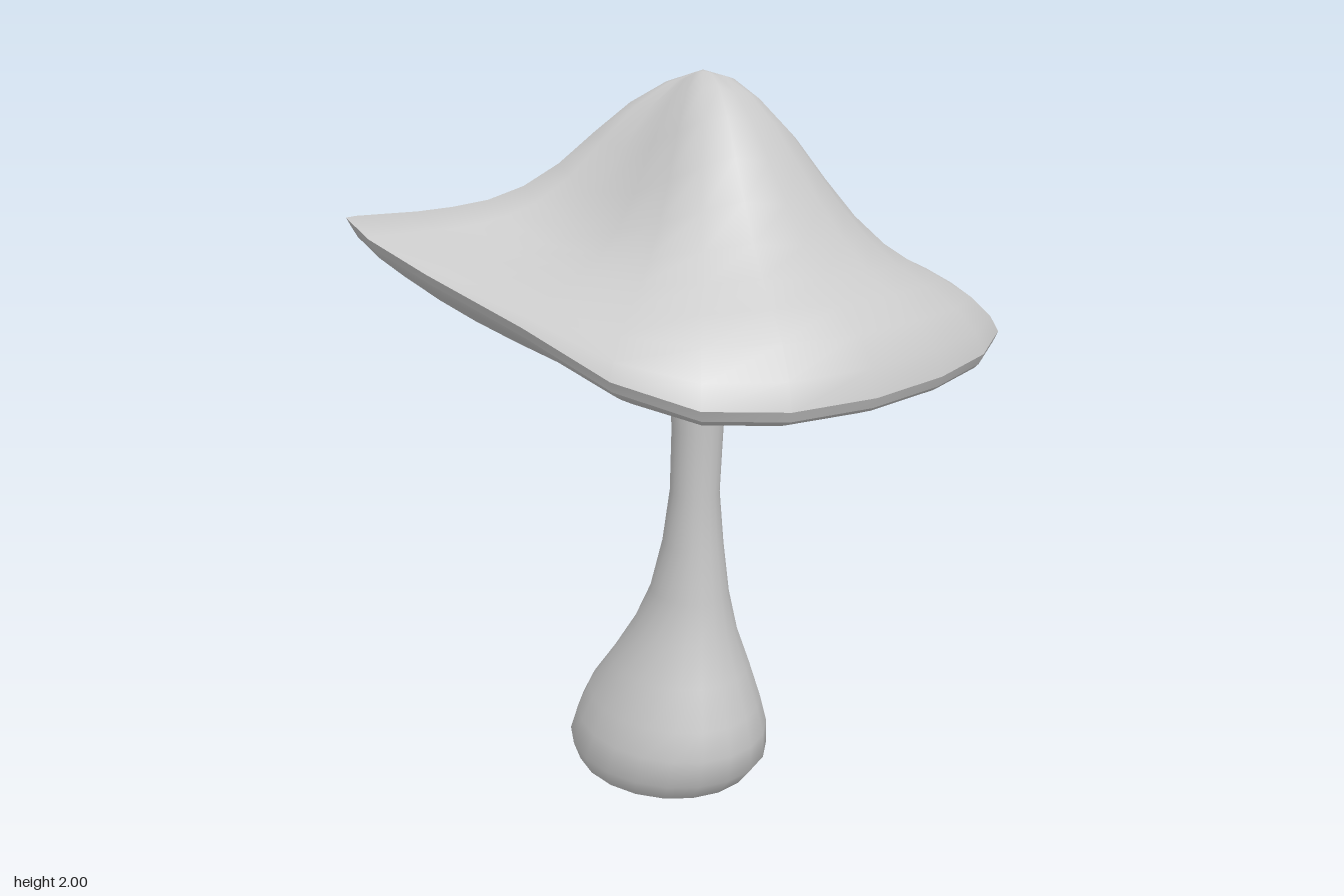
import * as THREE from 'three';
import { mergeVertices } from 'three/addons/utils/BufferGeometryUtils.js';

const lerp = THREE.MathUtils.lerp;
const APEX = { x: -0.06, y: 2, z: 0.1 };
const UNDER_Y = 1.24; // underside height at the stem

// Rim of the cap as two arcs [x, y, z], broken by the two slits
const ARCS = [
  [
    [0.18, 1.2, -0.785], [0.35, 1.165, -0.735], [0.54, 1.155, -0.62], [0.7, 1.19, -0.48],
    [0.81, 1.24, -0.305], [0.835, 1.28, -0.07], [0.77, 1.3, 0.21], [0.62, 1.32, 0.47],
    [0.41, 1.335, 0.65], [0.18, 1.345, 0.765], [-0.06, 1.35, 0.825], [-0.29, 1.355, 0.82],
    [-0.47, 1.365, 0.735], [-0.6, 1.41, 0.57], [-0.69, 1.49, 0.33], [-0.78, 1.56, 0.01],
    [-0.84, 1.615, -0.19], [-0.825, 1.635, -0.37], [-0.76, 1.59, -0.5], [-0.63, 1.52, -0.59],
  ],
  [[-0.55, 1.47, -0.64], [-0.36, 1.38, -0.755], [-0.12, 1.29, -0.825], [0.075, 1.23, -0.81]],
];
// Slits: middle of the opening at the rim, and how far out it starts on the top and underside
const SLIT_BACK = { mid: [0.155, 1.215, -0.79], top: 0.6, under: 0.6 };
const SLIT_SIDE = { mid: [-0.575, 1.495, -0.615], top: 0.8, under: 0.93 };

// Slope of the cap from apex to rim, towards each side
const STEPS = [0, 0.1, 0.2, 0.3, 0.4, 0.5, 0.6, 0.7, 0.8, 0.9, 0.97, 1];
const SLOPE = {
  right: [1, 0.96, 0.85, 0.72, 0.56, 0.42, 0.32, 0.25, 0.19, 0.12, 0.05, 0],
  front: [1, 0.985, 0.94, 0.85, 0.72, 0.58, 0.45, 0.35, 0.28, 0.2, 0.1, 0],
  left: [1, 0.95, 0.82, 0.61, 0.38, 0.22, 0.13, 0.09, 0.06, 0.04, 0.02, 0],
  back: [1, 0.965, 0.895, 0.79, 0.66, 0.53, 0.41, 0.3, 0.2, 0.1, 0.03, 0],
};

// Stem sections: y, x from, x to, z from, z to
const STEM = [
  [1.3, -0.17, 0.005, 0.03, 0.2], [1.2, -0.16, -0.005, 0.04, 0.19], [1.08, -0.15, -0.015, 0.04, 0.18],
  [0.9, -0.147, -0.018, 0.025, 0.167], [0.75, -0.16, 0, -0.005, 0.17], [0.6, -0.18, 0.025, -0.06, 0.18],
  [0.48, -0.215, 0.06, -0.125, 0.195], [0.37, -0.265, 0.105, -0.2, 0.225], [0.26, -0.31, 0.145, -0.29, 0.26],
  [0.18, -0.335, 0.17, -0.337, 0.275], [0.1, -0.35, 0.185, -0.367, 0.265], [0.04, -0.325, 0.16, -0.352, 0.215],
];
const STEM_BASE = [STEM[11], [0, -0.2, 0.045, -0.235, 0.08], [0, -0.078, -0.078, -0.078, -0.078]];

// Smooth surface through one or more grids of points
function surface(...grids) {
  const pos = [];
  for (const cols of grids) {
    for (let i = 0; i < cols.length - 1; i++) {
      for (let j = 0; j < cols[i].length - 1; j++) {
        const a = cols[i][j], b = cols[i + 1][j], c = cols[i + 1][j + 1], d = cols[i][j + 1];
        for (const p of [a, b, c, a, c, d]) pos.push(...p);
      }
    }
  }
  const raw = new THREE.BufferGeometry();
  raw.setAttribute('position', new THREE.Float32BufferAttribute(pos, 3));
  const geo = mergeVertices(raw, 1e-5);
  geo.computeVertexNormals();
  return geo;
}

// One spoke of the cap: matching points on the top, the lip and the underside.
// The two spokes beside a slit run together until the slit starts.
function spoke(rim, slit) {
  const dir = slit ? slit.mid : rim;
  const ang = Math.atan2(dir[2] - APEX.z, dir[0] - APEX.x);
  const c = Math.cos(ang), s = Math.sin(ang);
  const sideX = c > 0 ? SLOPE.right : SLOPE.left;
  const sideZ = s > 0 ? SLOPE.front : SLOPE.back;
  const rimAt = (t, start) => {
    const k = Math.max(0, (t - start) / (1 - start));
    return dir.map((v, n) => lerp(v, rim[n], k));
  };
  const top = STEPS.map((t, i) => {
    const r = rimAt(t, slit ? slit.top : 0);
    const twist = 0.8 * Math.min(c, 0) * s * t * (1 - t);
    const f = c * c * sideX[i] + s * s * sideZ[i] - twist;
    return [lerp(APEX.x, r[0], t), lerp(r[1], APEX.y, f), lerp(APEX.z, r[2], t)];
  });
  const sag = 0.07 + 0.02 * (c - s);
  const under = STEPS.map((t) => {
    const r = rimAt(t, slit ? slit.under : 0);
    const y = lerp(UNDER_Y, r[1] - 0.026, Math.pow(t, 1.5)) - sag * 4 * t * (1 - t);
    const u = t === 1 ? 0.985 : t;
    return [lerp(APEX.x, r[0], u), y, lerp(APEX.z, r[2], u)];
  });
  return { top, lip: [top[11], under[11]], under: under.reverse() };
}

// Stem rings turned into columns running from top to bottom
function stemColumns(sections, sides = 20) {
  return Array.from({ length: sides + 1 }, (_, i) => {
    const a = ((i % sides) / sides) * Math.PI * 2;
    return sections.map(([y, x0, x1, z0, z1]) => [
      (x0 + x1) / 2 + ((x1 - x0) / 2) * Math.cos(a), y,
      (z0 + z1) / 2 + ((z1 - z0) / 2) * Math.sin(a),
    ]);
  });
}

export function createModel() {
  const group = new THREE.Group();
  const material = new THREE.MeshStandardMaterial({ color: 0xcccccc, roughness: 0.8 });
  const wallMaterial = material.clone();
  wallMaterial.side = THREE.DoubleSide;
  const add = (name, geometry, parent, mat = material) => {
    const mesh = new THREE.Mesh(geometry, mat);
    mesh.name = name;
    parent.add(mesh);
  };

  // Cap: a closed body in two arcs meeting at the slits
  const cap = new THREE.Group();
  cap.name = 'cap';
  group.add(cap);
  const slits = [[SLIT_BACK, SLIT_SIDE], [SLIT_SIDE, SLIT_BACK]];
  const arcs = ARCS.map((arc, n) => arc.map((rim, i) =>
    spoke(rim, i === 0 ? slits[n][0] : i === arc.length - 1 ? slits[n][1] : null)));
  const skin = (key) => surface(...arcs.map((spokes) => spokes.map((s) => s[key])));
  add('capTop', skin('top'), cap);
  add('capLip', skin('lip'), cap);
  add('capUnderside', skin('under'), cap);

  // Cut faces inside the slits
  arcs.forEach((spokes, n) => [spokes[0], spokes[spokes.length - 1]].forEach((s, e) => {
    const first = STEPS.indexOf(slits[n][e].top);
    const under = [...s.under].reverse();
    add('slitWall', surface([s.top.slice(first), under.slice(first)]), cap, wallMaterial);
  }));

  // Stem with a swollen foot and a bevelled base
  add('stem', surface(stemColumns(STEM)), group);
  add('stemBase', surface(stemColumns(STEM_BASE)), group);
  return group;
}
